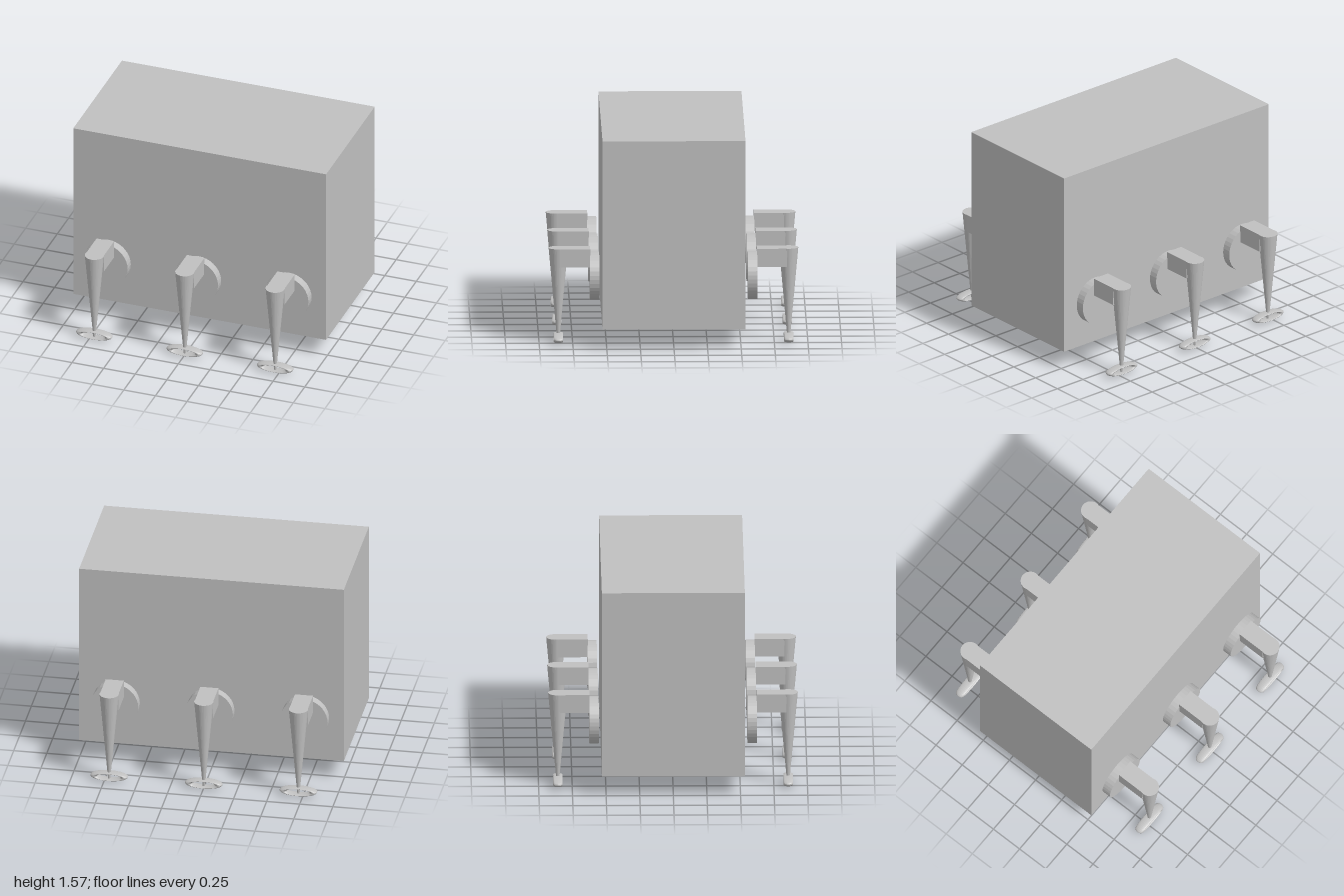
import * as THREE from 'three';

export function createModel() {
  const model = new THREE.Group();
  model.name = 'sixLeggedBox';
  const grey = new THREE.MeshStandardMaterial({ color: 0xc0c0c0, flatShading: true });
  grey.name = 'grey';

  const add = (parent, name, geometry, x, y, z) => {
    const mesh = new THREE.Mesh(geometry, grey);
    mesh.name = name;
    mesh.position.set(x, y, z);
    parent.add(mesh);
    return mesh;
  };

  // Main body
  add(model, 'body', new THREE.BoxGeometry(2, 1.425, 1.064), 0, 0.8615, 0);

  // Shared leg geometries
  const hub = new THREE.CylinderGeometry(0.178, 0.178, 0.07, 36).rotateX(Math.PI / 2);
  const arm = new THREE.BoxGeometry(0.137, 0.138, 0.222);
  const shank = new THREE.CylinderGeometry(0.072, 0.007, 0.717, 36);
  // Foot ring: upright, flattened in height, widened in depth
  const ring = new THREE.TorusGeometry(0.1136, 0.0284, 20, 40).scale(1, 0.24, 1.23);

  function makeLeg(name) {
    const leg = new THREE.Group();
    leg.name = name;
    add(leg, 'hubDisc', hub, 0, 0.505, 0.588);
    add(leg, 'arm', arm, 0, 0.648, 0.731);
    add(leg, 'shank', shank, 0, 0.3585, 0.857);
    add(leg, 'footRing', ring, 0, 0.038, 0.857);
    return leg;
  }

  // Three legs on the front and three turned round on the back
  ['front', 'back'].forEach((side, s) => {
    ['Right', 'Middle', 'Left'].forEach((place, i) => {
      const leg = makeLeg(side + place + 'Leg');
      leg.position.x = (i - 1) * 0.715;
      leg.rotation.y = s * Math.PI;
      model.add(leg);
    });
  });

  return model;
}
